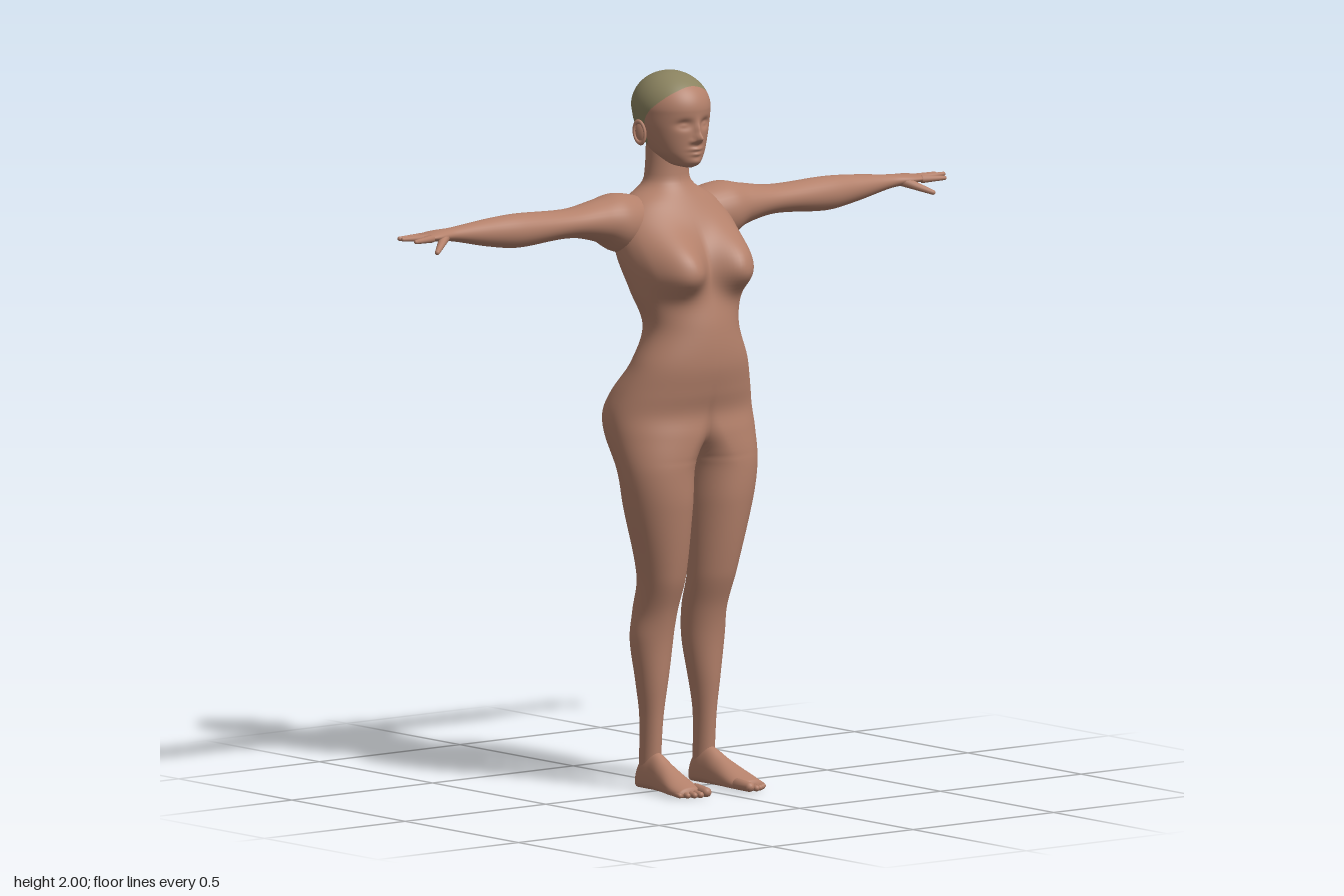
import * as THREE from 'three';
import { mergeVertices } from 'three/addons/utils/BufferGeometryUtils.js';

const skin = new THREE.MeshStandardMaterial({ color: 0xb3806a });
skin.name = 'skin';
const scalpTone = new THREE.MeshStandardMaterial({ color: 0x8a825f });
scalpTone.name = 'scalp';

// Smooth interpolation of a table whose first column is the key
function sample(table, key) {
  let i = 0;
  while (i < table.length - 2 && key > table[i + 1][0]) i++;
  const a = table[i], b = table[i + 1];
  const p = table[Math.max(i - 1, 0)], q = table[Math.min(i + 2, table.length - 1)];
  const h = b[0] - a[0];
  const f = Math.min(Math.max((key - a[0]) / h, 0), 1), f2 = f * f, f3 = f2 * f;
  return a.map((v, c) => {
    const m0 = (b[c] - p[c]) / (b[0] - p[0]) * h;
    const m1 = (q[c] - v) / (q[0] - a[0]) * h;
    return v * (2 * f3 - 3 * f2 + 1) + m0 * (f3 - 2 * f2 + f) + b[c] * (3 * f2 - 2 * f3) + m1 * (f3 - f2);
  });
}

// Smooth skin over a grid of points, point(u, v) with u, v from 0 to 1
function surface(cols, rows, point) {
  const pos = [], idx = [];
  for (let r = 0; r <= rows; r++)
    for (let c = 0; c <= cols; c++) pos.push(...point(c / cols, r / rows));
  for (let r = 0; r < rows; r++)
    for (let c = 0; c < cols; c++) {
      const a = r * (cols + 1) + c, b = a + cols + 1;
      idx.push(a, b, a + 1, a + 1, b, b + 1);
    }
  let geo = new THREE.BufferGeometry();
  geo.setAttribute('position', new THREE.Float32BufferAttribute(pos, 3));
  geo.setIndex(idx);
  geo = mergeVertices(geo, 1e-5);
  geo.computeVertexNormals();
  return geo;
}

function mirrored(geo) {
  const g = geo.clone(), idx = g.index.array;
  for (const name of ['position', 'normal']) {
    const at = g.attributes[name];
    for (let i = 0; i < at.count; i++) at.setX(i, -at.getX(i));
  }
  for (let i = 0; i < idx.length; i += 3) [idx[i], idx[i + 1]] = [idx[i + 1], idx[i]];
  return g;
}

// Outline from ankle to neck: y, outer x, front z, back z
const OUTLINE = [
  [.03, .122, -.01, -.08], [.2, .125, 0, -.075], [.3, .137, .01, -.086], [.42, .152, .02, -.102],
  [.5, .147, .036, -.096], [.6, .156, .07, -.07], [.8, .205, .105, -.092], [.9, .223, .11, -.102],
  [1, .233, .11, -.16], [1.06, .23, .105, -.172], [1.12, .212, .12, -.155], [1.2, .18, .135, -.105],
  [1.3, .144, .13, -.085], [1.4, .172, .108, -.115], [1.5, .192, .085, -.16], [1.58, .185, .05, -.175],
  [1.64, .145, .01, -.168], [1.675, .085, -.015, -.155], [1.7, .066, -.028, -.147], [1.82, .06, -.03, -.14],
];
// How the legs part: y, inner x, front ridge x, back ridge x
const PARTING = [
  [.03, .068, .095, .095], [.2, .064, .095, .095], [.42, .031, .092, .09], [.8, .012, .1, .1],
  [.9, .007, .1, .105], [.95, -.012, .08, .105], [1, -.05, .05, .105], [1.06, -.08, .025, .1],
  [1.2, -.18, 0, .04], [1.5, -.18, 0, .04], [1.7, -.07, 0, 0],
];

function halfBody() {
  const geo = surface(56, 150, (u, v) => {
    const [y, xo, zf, zb] = sample(OUTLINE, .03 + v * 1.79);
    const [, xi, mf, mb] = sample(PARTING, y);
    const w = u * 2 - 1, m = Math.max(w > 0 ? mf : mb, 0);
    const end = xi < 0 ? Math.acos(-m / (m - xi)) : Math.PI; // stops at the middle of the body
    const c = Math.cos(w * end), s = Math.sin(w * end);
    const x = Math.max(m + (c > 0 ? xo - m : m - xi) * c, 0);
    let z = (zf + zb) / 2 + (zf - zb) / 2 * s;
    if (s > 0) { // bust, fuller and rounder below
      const r = Math.hypot((x - .105) / .078, (y - 1.465) / (y < 1.465 ? .068 : .095));
      z += .078 * Math.exp(-(r ** 2.6)) * Math.min(1, s * 2.5);
    }
    return [x < 1e-5 ? 0 : x, y, z];
  });
  // Straight normals where the two halves meet
  const p = geo.attributes.position, n = geo.attributes.normal, t = new THREE.Vector3();
  for (let i = 0; i < p.count; i++)
    if (p.getX(i) < 1e-4) {
      t.set(0, n.getY(i), n.getZ(i)).normalize();
      n.setXYZ(i, t.x, t.y, t.z);
    }
  return geo;
}

// Arm and palm: x, top y, bottom y, front z, back z
const ARM = [
  [.06, 1.64, 1.54, -.03, -.14], [.12, 1.66, 1.505, -.012, -.165], [.19, 1.671, 1.508, -.002, -.17],
  [.25, 1.66, 1.54, -.012, -.155], [.36, 1.645, 1.563, -.022, -.132], [.55, 1.65, 1.555, -.025, -.12],
  [.65, 1.645, 1.568, -.035, -.112], [.78, 1.633, 1.595, -.045, -.098], [.84, 1.63, 1.6, -.035, -.108],
  [.9, 1.621, 1.608, -.036, -.106],
];
const arm = () => surface(32, 90, (u, v) => {
  const [x, yt, yb, zf, zb] = sample(ARM, .06 + .84 * v), a = u * Math.PI * 2;
  const k = v === 0 || v === 1 ? 0 : .5;
  return [x, (yt + yb) / 2 + (yt - yb) * k * Math.cos(a), (zf + zb) / 2 - (zf - zb) * k * Math.sin(a)];
});

// Foot: z, inner x, outer x, top y
const FOOT = [
  [-.088, .085, .105, .04], [-.08, .071, .119, .065], [-.05, .064, .126, .1], [-.01, .063, .128, .105],
  [.04, .061, .138, .08], [.11, .059, .154, .046], [.165, .066, .152, .024],
];
const foot = () => surface(32, 40, (u, v) => {
  const [z, xi, xo, top] = sample(FOOT, -.088 + .253 * v), a = u * Math.PI * 2;
  const k = v === 0 || v === 1 ? 0 : 1, c = Math.cos(a);
  const y = .35 * top + k * (c > 0 ? .65 * top * c : -.35 * top * Math.sqrt(-c));
  return [(xi + xo) / 2 + (xo - xi) / 2 * k * Math.sin(a), y, z];
});

// Tapered rounded finger or toe from a to b
function digit(a, b, r0, r1) {
  const dir = new THREE.Vector3(...b).sub(new THREE.Vector3(...a)), len = dir.length();
  const pts = [new THREE.Vector2(0, 0), new THREE.Vector2(r0, 0)];
  for (let i = 0; i <= 5; i++) {
    const t = i / 5 * Math.PI / 2;
    pts.push(new THREE.Vector2(r1 * Math.cos(t), len - r1 + r1 * Math.sin(t)));
  }
  const geo = new THREE.LatheGeometry(pts, 12);
  geo.applyQuaternion(new THREE.Quaternion().setFromUnitVectors(new THREE.Vector3(0, 1, 0), dir.normalize()));
  return geo.translate(...a);
}

// Head: y, half width, front z, back z; a rounded dome above y = 1.9
const HEAD = [
  [1.738, .012, .02, -.02], [1.745, .035, .034, -.05], [1.76, .052, .042, -.085],
  [1.785, .072, .044, -.125], [1.85, .096, .048, -.176], [1.9, .103, .052, -.19],
];
// Nose, bridge, eye sockets, eyes, nostrils, lips and chin: x, y, width, height, depth
const FACE = [
  [0, 1.822, .011, .013, .024], [0, 1.845, .009, .022, .012], [.036, 1.862, .02, .013, -.013],
  [.036, 1.86, .012, .007, .006], [.016, 1.815, .007, .007, .006], [0, 1.792, .02, .006, .008],
  [0, 1.778, .017, .006, .007], [0, 1.756, .02, .012, .006],
];
// Hairline from back to front: sine of the angle, y
const HAIRLINE = [[-1, 1.785], [-.2, 1.81], [.1, 1.88], [.6, 1.935], [1, 1.965]];

function headPoint(y, a) {
  let [, w, zf, zb] = sample(HEAD, Math.min(y, 1.9));
  if (y > 1.9) {
    const k = Math.sqrt(Math.max(0, 1 - ((y - 1.9) / .1) ** 2));
    w = .103 * k;
    zf = -.07 + .122 * k ** 1.15;
    zb = -.07 - .12 * k;
  }
  const s = Math.sin(a), x = w * Math.cos(a);
  let z = (zf + zb) / 2 + (zf - zb) / 2 * s;
  if (s > 0)
    for (const [fx, fy, sx, sy, d] of FACE)
      z += d * Math.exp(-(((Math.abs(x) - fx) / sx) ** 2) - ((y - fy) / sy) ** 2) * Math.min(1, s * 2);
  return [x, y, z];
}
const hairline = (a) => sample(HAIRLINE, Math.sin(a))[1];
const face = () => surface(120, 80, (u, v) => {
  const a = u * Math.PI * 2;
  return headPoint(1.738 + (hairline(a) - 1.738) * v, a);
});
const scalp = () => surface(120, 40, (u, v) => {
  const a = u * Math.PI * 2, low = hairline(a);
  return headPoint(low + (2 - low) * Math.sin(v * Math.PI / 2), a);
});

export function createModel() {
  const model = new THREE.Group();
  model.name = 'figure';
  const add = (name, geo, mat = skin) => {
    const mesh = new THREE.Mesh(geo, mat);
    mesh.name = name;
    model.add(mesh);
  };
  const pair = (name, geo) => {
    add('left ' + name, geo);
    add('right ' + name, mirrored(geo));
  };

  pair('body half', halfBody());
  pair('arm', arm());
  pair('foot', foot());
  add('face', face());
  add('scalp', scalp(), scalpTone);

  // Fingers and thumb
  pair('index finger', digit([.87, 1.614, -.042], [.945, 1.613, -.026], .011, .006));
  pair('middle finger', digit([.87, 1.615, -.061], [.966, 1.619, -.058], .011, .006));
  pair('ring finger', digit([.87, 1.615, -.081], [.957, 1.617, -.086], .01, .006));
  pair('little finger', digit([.865, 1.614, -.099], [.925, 1.613, -.111], .009, .005));
  pair('thumb', digit([.815, 1.612, -.055], [.886, 1.578, -.002], .015, .007));

  // Toes, largest on the inside
  for (let i = 0; i < 5; i++) {
    const r = i ? .0095 - i * .0005 : .014, x = i ? .083 + i * .0165 : .077;
    pair('toe ' + (i + 1), digit([x - .003, r + .004, .13], [x, r, .197 - i * i * .0022], r * 1.15, r));
  }

  // Ears: flattened shell with a raised rim
  const place = (g) => g.rotateX(-.15).rotateY(-.3).translate(.1, 1.835, -.078);
  pair('ear', place(new THREE.SphereGeometry(1, 20, 14).scale(.009, .032, .019)));
  pair('ear rim', place(new THREE.TorusGeometry(.02, .0045, 8, 28).rotateY(Math.PI / 2).scale(1, 1.5, .9).translate(.006, 0, 0)));
  return model;
}
